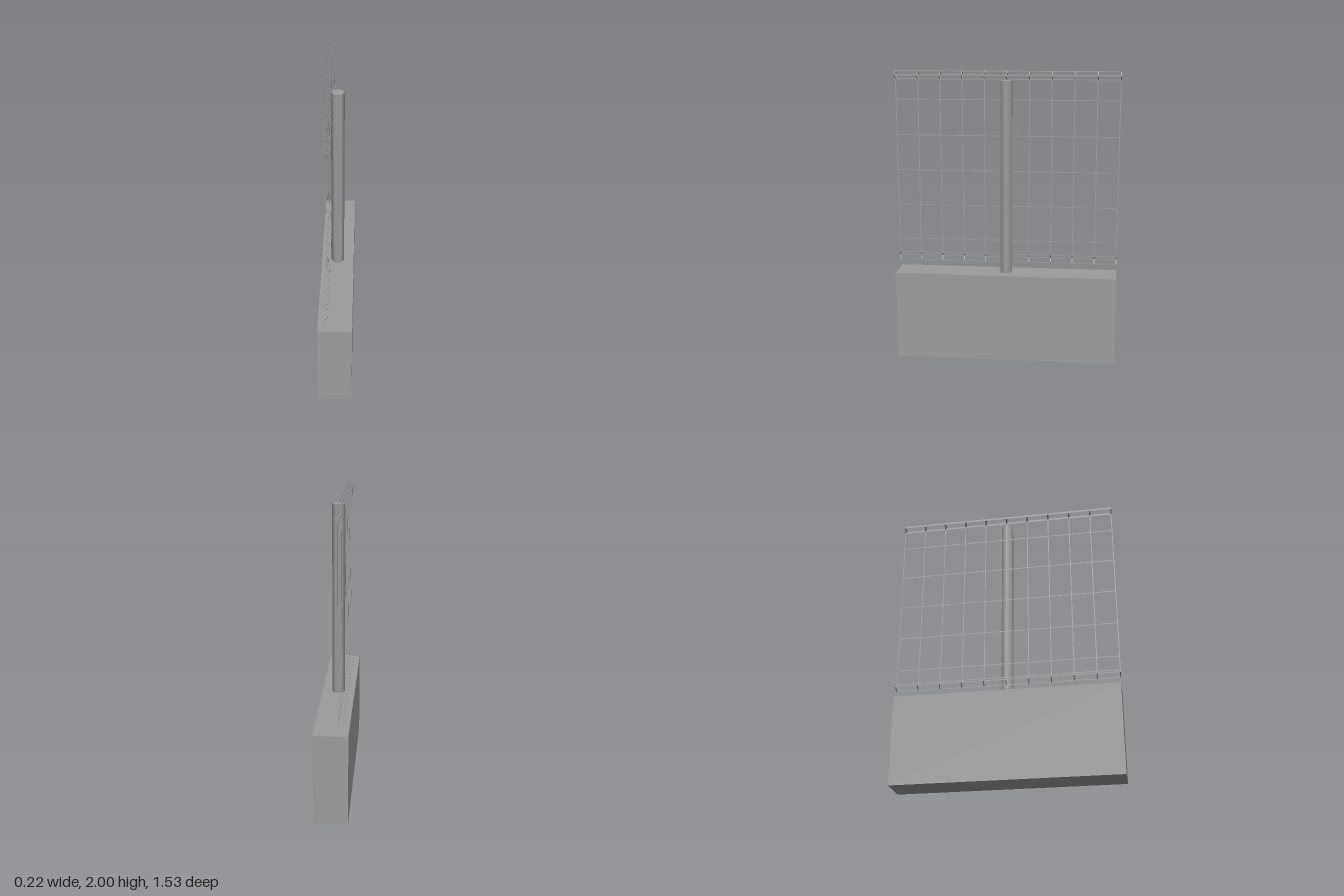
import * as THREE from 'three';

export function createModel() {
  const model = new THREE.Group();
  const color = 0x9c9c9c;
  const solid = new THREE.MeshStandardMaterial({ color });
  const thin = new THREE.MeshStandardMaterial({ color, side: THREE.DoubleSide, flatShading: true });

  const add = (parent, name, geometry, material, x, y, z) => {
    const mesh = new THREE.Mesh(geometry, material);
    mesh.name = name;
    mesh.position.set(x, y, z);
    parent.add(mesh);
  };

  // Foundation block and hexagonal post
  const baseH = 0.613, postH = 1.325;
  add(model, 'foundation', new THREE.BoxGeometry(0.225, baseH, 1.526), solid, 0, baseH / 2, 0);
  add(model, 'post', new THREE.CylinderGeometry(0.044, 0.044, postH, 6, 1, false, Math.PI / 2),
    solid, 0, baseH + postH / 2, 0);

  // Wire panel made of flat strips, standing against the post
  const panel = new THREE.Group();
  panel.name = 'wirePanel';
  panel.position.x = -0.047;
  model.add(panel);

  const wire = 0.006, length = 1.53, pitch = 0.1523;
  const rollX = 0.031, rollY = 0.027;
  const lowRoll = 0.7, highRoll = 1.97;
  const bottom = lowRoll + rollY, top = highRoll - rollY;

  const horizontalGeo = new THREE.PlaneGeometry(length, wire).rotateY(Math.PI / 2);
  const verticalGeo = new THREE.PlaneGeometry(wire, top - bottom).rotateY(Math.PI / 2);
  // Strips bent around the z axis: a closed diamond, and a V open towards +x
  const bentStrip = (sides, start, sweep) =>
    new THREE.CylinderGeometry(1, 1, wire, sides, 1, true, start, sweep)
      .rotateX(Math.PI / 2).scale(rollX, rollY, 1);
  const diamondGeo = bentStrip(4, 0, Math.PI * 2);
  const veeGeo = bentStrip(2, Math.PI, Math.PI);

  // Horizontal wires across the flat field
  for (let i = 0; i < 5; i++) add(panel, 'horizontalWire', horizontalGeo, thin, 0, 0.827 + i * 0.2445, 0);

  // Long wires at the corners of the two bent edges
  const corners = [[0, rollY], [0, -rollY], [-rollX, 0], [rollX, 0]];
  for (const [x, y] of corners) add(panel, 'topEdgeWire', horizontalGeo, thin, x, highRoll + y, 0);
  for (const [x, y] of corners.slice(0, 3)) add(panel, 'bottomEdgeWire', horizontalGeo, thin, x, lowRoll + y, 0);

  // Vertical wires, each ending in a V at the bottom and a diamond at the top
  for (let i = -5; i <= 5; i++) {
    const z = i * pitch;
    add(panel, 'verticalWire', verticalGeo, thin, 0, (top + bottom) / 2, z);
    add(panel, 'bottomBend', veeGeo, thin, 0, lowRoll, z);
    add(panel, 'topLoop', diamondGeo, thin, 0, highRoll, z);
  }

  return model;
}
